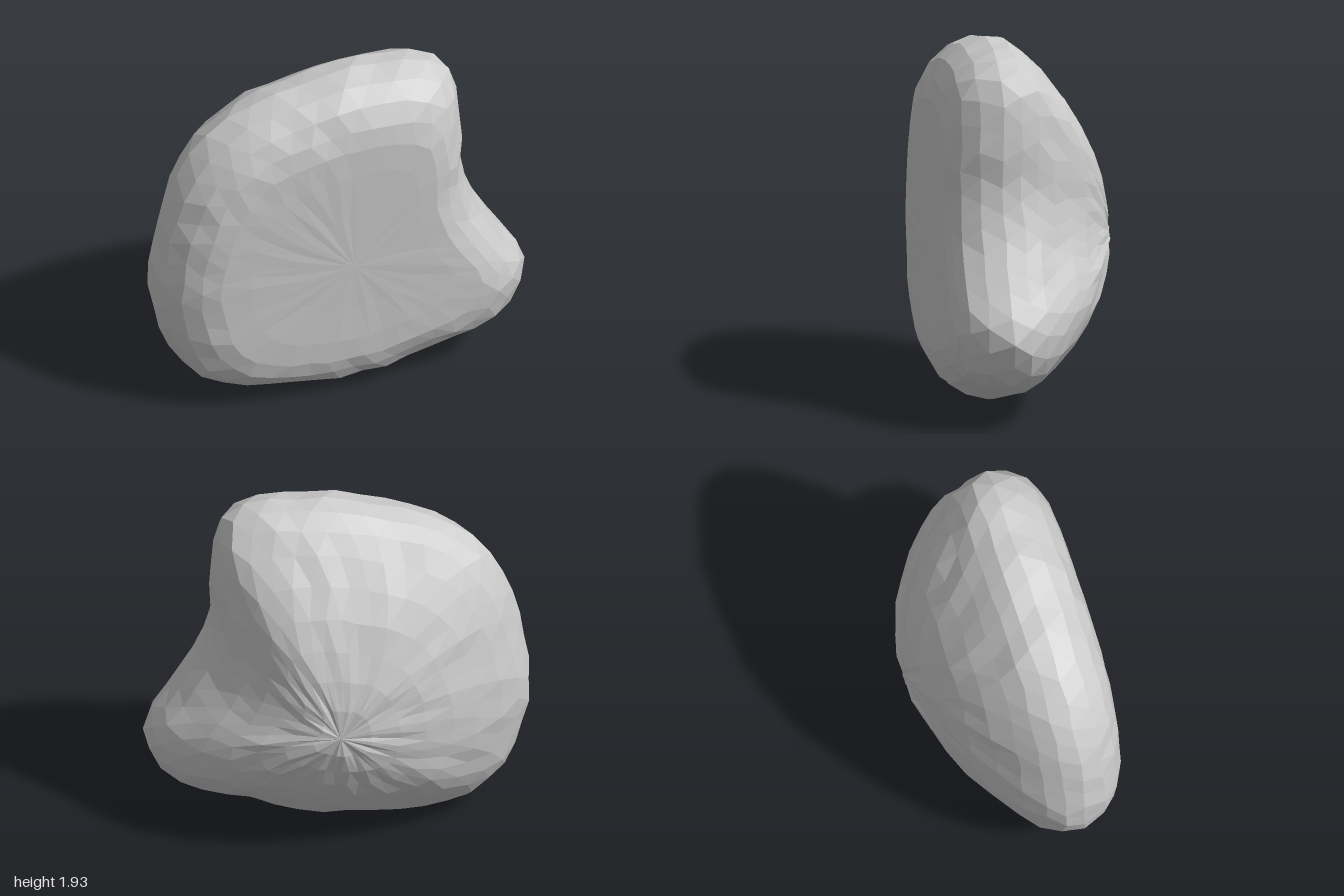
import * as THREE from 'three';

// Broadest outline of the boulder, counter-clockwise from its side knob
const OUTLINE = [
  [1, 0.5], [0.97, 0.6], [0.84, 0.8], [0.74, 0.97], [0.68, 1.13], [0.655, 1.3], [0.66, 1.45], [0.64, 1.65],
  [0.6, 1.8], [0.47, 1.9], [0.2, 1.92], [0, 1.91], [-0.2, 1.86], [-0.45, 1.8], [-0.65, 1.68], [-0.8, 1.52],
  [-0.9, 1.3], [-0.96, 1.08], [-1, 0.85], [-1, 0.65], [-0.96, 0.45], [-0.86, 0.22], [-0.65, 0.06],
  [-0.35, 0.01], [0, 0], [0.25, 0.03], [0.5, 0.11], [0.8, 0.2], [0.94, 0.32],
];

// Rings from the flat front to the domed back: [scale of outline, z]
const RINGS = [
  [0.3, 0.472], [0.55, 0.472], [0.7, 0.466], [0.8, 0.44], [0.89, 0.39], [0.965, 0.3], [1, 0.18], [0.985, 0.08],
  [0.93, -0.01], [0.84, -0.1], [0.72, -0.2], [0.58, -0.295], [0.44, -0.365], [0.3, -0.42], [0.15, -0.46],
];
const SEGMENTS = 46;
const CENTRE = [0.01, 0.85];

function seeded(seed) {
  return () => {
    seed = (seed * 16807) % 2147483647;
    return seed / 2147483647 - 0.5;
  };
}

function boulderGeometry() {
  const curve = new THREE.CatmullRomCurve3(OUTLINE.map(([x, y]) => new THREE.Vector3(x, y, 0)), true);
  const rand = seeded(41);
  const pos = [];
  const index = [];

  // Every second ring is turned half a step, giving triangular facets
  RINGS.forEach(([scale, z], i) => {
    for (let j = 0; j < SEGMENTS; j++) {
      const p = curve.getPointAt(((j + (i % 2) * 0.5) / SEGMENTS) % 1);
      const s = scale * (1 + rand() * 0.018);
      const rough = i < 3 ? 0.004 : 0.018;
      pos.push(
        CENTRE[0] + (p.x - CENTRE[0]) * s,
        Math.max(0, CENTRE[1] + (p.y - CENTRE[1]) * s),
        z + rand() * rough,
      );
    }
  });
  const at = (i, j) => i * SEGMENTS + (j % SEGMENTS);
  for (let i = 0; i < RINGS.length - 1; i++) {
    for (let j = 0; j < SEGMENTS; j++) {
      const a = at(i, j), b = at(i, j + 1), c = at(i + 1, j), d = at(i + 1, j + 1);
      if (i % 2) index.push(a, c, d, a, d, b);
      else index.push(a, c, b, b, c, d);
    }
  }

  // Close the front and the back
  const front = pos.length / 3;
  const back = front + 1;
  const last = RINGS.length - 1;
  pos.push(...CENTRE, 0.473, 0.02, 0.84, -0.473);
  for (let j = 0; j < SEGMENTS; j++) {
    index.push(front, at(0, j), at(0, j + 1));
    index.push(back, at(last, j + 1), at(last, j));
  }

  const geometry = new THREE.BufferGeometry();
  geometry.setAttribute('position', new THREE.Float32BufferAttribute(pos, 3));
  geometry.setIndex(index);
  geometry.computeVertexNormals();
  return geometry;
}

export function createModel() {
  const group = new THREE.Group();
  group.name = 'rock';
  const boulder = new THREE.Mesh(
    boulderGeometry(),
    new THREE.MeshStandardMaterial({ color: 0xcccccc, flatShading: true }),
  );
  boulder.name = 'boulder';
  group.add(boulder);
  return group;
}
